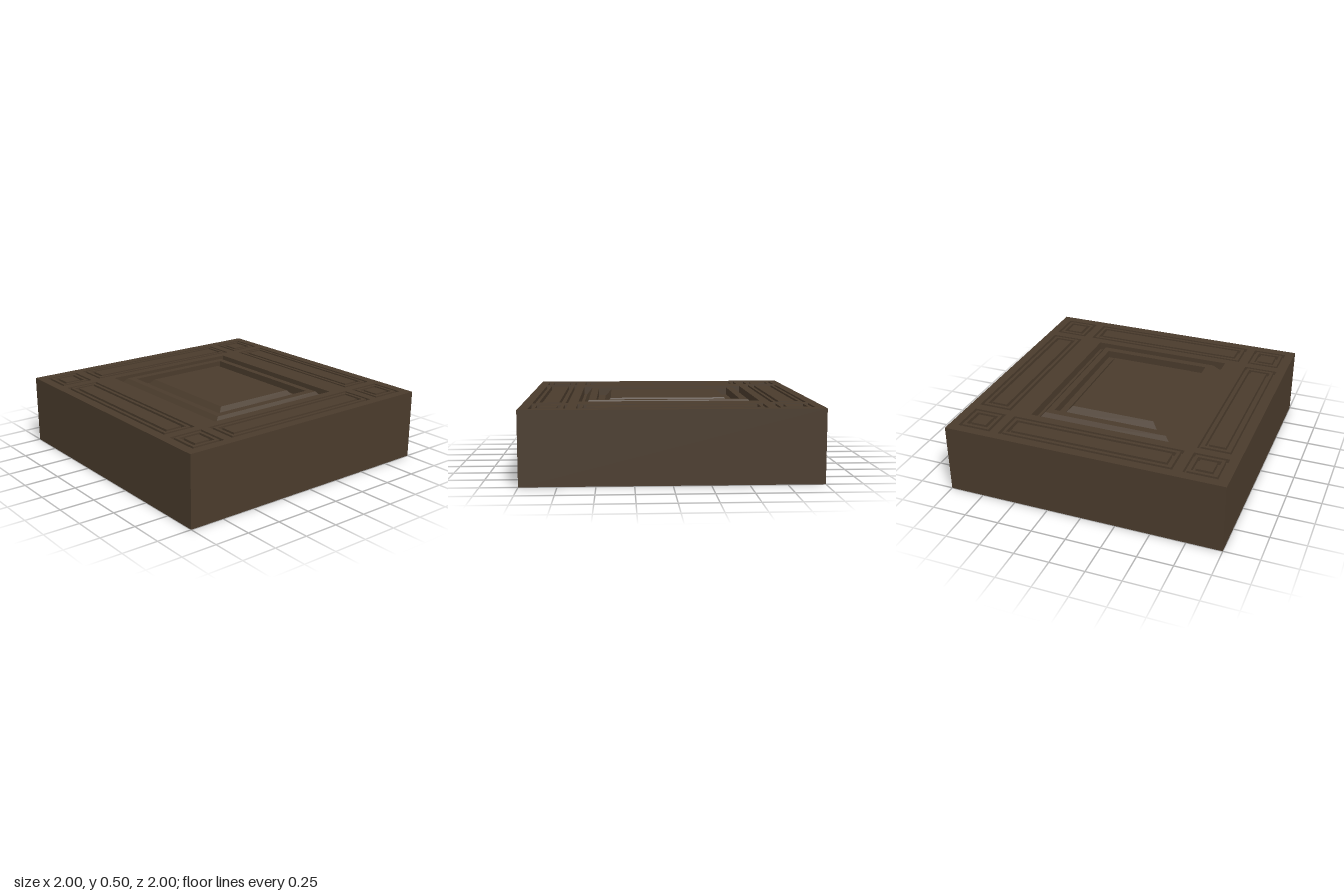
import * as THREE from 'three';

const TOP = 0.5;

// Surface through nested rectangles [halfX, halfZ, y], outermost first; optionally capped.
function rectLoft(rings, cap) {
  const pos = [];
  const corners = ([hx, hz, y]) => [[-hx, y, hz], [hx, y, hz], [hx, y, -hz], [-hx, y, -hz]];
  const quad = (a, b, c, d) => pos.push(...a, ...b, ...c, ...a, ...c, ...d);
  for (let i = 0; i < rings.length - 1; i++) {
    const a = corners(rings[i]), b = corners(rings[i + 1]);
    for (let k = 0; k < 4; k++) {
      const n = (k + 1) % 4;
      quad(a[k], a[n], b[n], b[k]);
    }
  }
  if (cap) quad(...corners(rings[rings.length - 1]));
  const g = new THREE.BufferGeometry();
  g.setAttribute('position', new THREE.Float32BufferAttribute(pos, 3));
  g.computeVertexNormals();
  return g;
}

function rectPath(path, cx, cz, hx, hz) {
  path.moveTo(cx - hx, -cz - hz);
  path.lineTo(cx + hx, -cz - hz);
  path.lineTo(cx + hx, -cz + hz);
  path.lineTo(cx - hx, -cz + hz);
  path.closePath();
  return path;
}

export function createModel() {
  const group = new THREE.Group();
  const wood = new THREE.MeshStandardMaterial({ color: 0x4a3b2c, side: THREE.DoubleSide });
  wood.name = 'dark wood';

  const add = (name, geometry, x = 0, z = 0) => {
    const mesh = new THREE.Mesh(geometry, wood);
    mesh.name = name;
    mesh.position.set(x, 0, z);
    group.add(mesh);
  };

  // Open-bottomed side walls
  add('sideWalls', rectLoft([[1, 1, 0], [1, 1, TOP]], false));

  // Top sheet with an opening for every panel
  const sheet = rectPath(new THREE.Shape(), 0, 0, 1, 1);
  const cut = (x, z, hx, hz) => sheet.holes.push(rectPath(new THREE.Path(), x, z, hx, hz));

  // Raised centre panel: channel, bevel, step and second bevel
  cut(0, 0, 0.627, 0.527);
  add('centrePanel', rectLoft([
    [0.627, 0.527, TOP], [0.627, 0.527, 0.44], [0.605, 0.507, 0.44], [0.56, 0.45, TOP],
    [0.507, 0.403, TOP], [0.507, 0.403, 0.445], [0.455, 0.357, 0.445], [0.408, 0.305, TOP],
  ], true));

  // Border panels with two concentric square grooves
  const low = TOP - 0.03, off = 0.8125;
  const insets = [0, 0.02, 0.042, 0.065];
  const borderPanel = (name, x, z, hx, hz) => {
    const rings = [];
    insets.forEach((d, i) => {
      const down = i % 2 === 0;
      rings.push([hx - d, hz - d, down ? TOP : low], [hx - d, hz - d, down ? low : TOP]);
    });
    cut(x, z, hx, hz);
    add(name, rectLoft(rings, true), x, z);
  };
  for (const s of [-1, 1]) {
    borderPanel('longPanel', 0, s * off, 0.627, 0.122);
    borderPanel('sidePanel', s * off, 0, 0.122, 0.627);
    for (const t of [-1, 1]) borderPanel('cornerPanel', s * off, t * off, 0.122, 0.122);
  }

  const sheetGeometry = new THREE.ShapeGeometry(sheet);
  sheetGeometry.rotateX(-Math.PI / 2);
  sheetGeometry.translate(0, TOP, 0);
  add('topFrame', sheetGeometry);

  return group;
}
